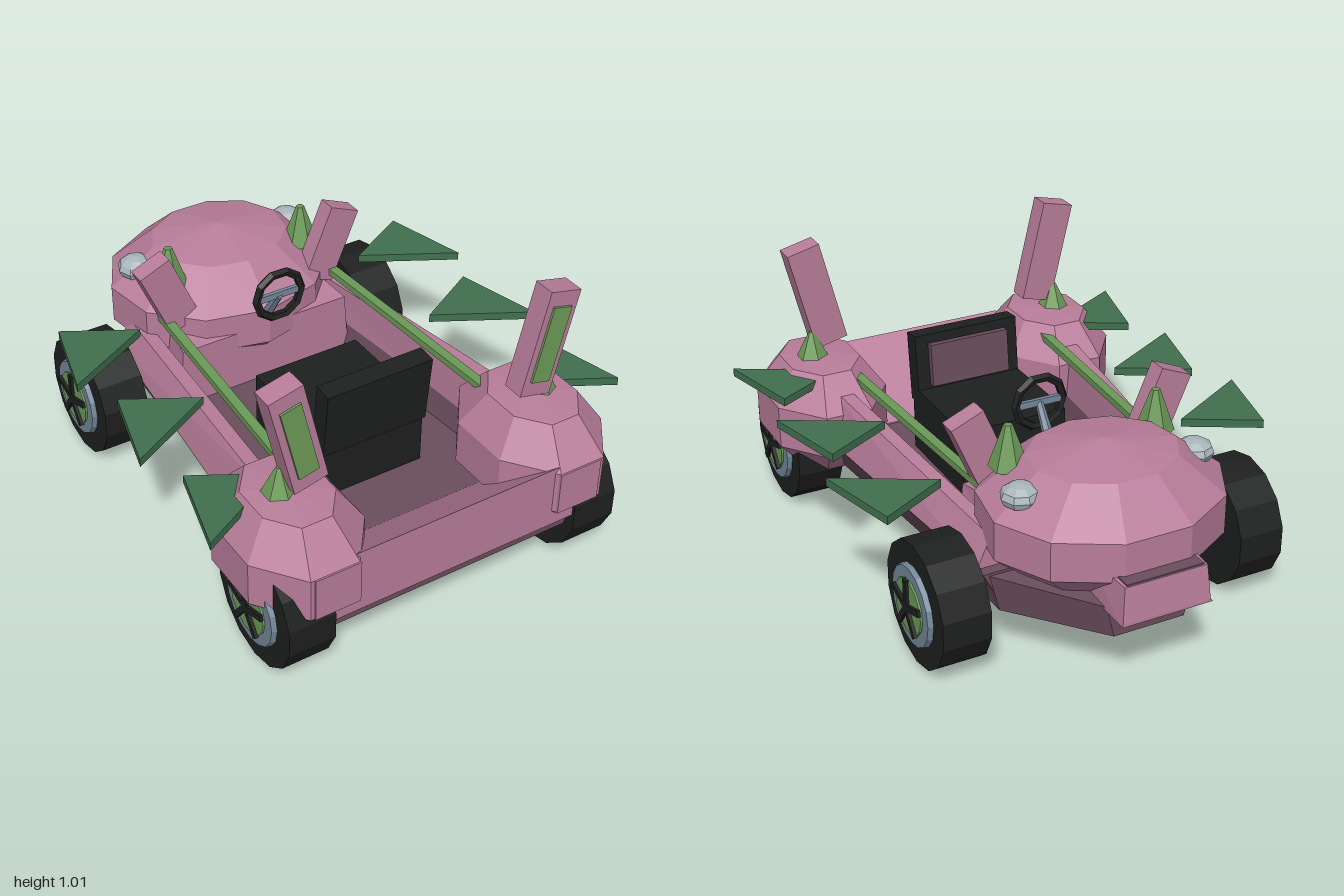
import * as THREE from 'three';

const mat = (name, color) => Object.assign(new THREE.MeshStandardMaterial({ color, flatShading: true }), { name });

export function createModel() {
  const pink = mat('pink body', 0xb87d9a);
  const mauve = mat('dark mauve', 0x6a4d5c);
  const black = mat('black rubber', 0x1e1f1f);
  const green = mat('light green', 0x6c9a58);
  const leaf = mat('dark green', 0x40704f);
  const steel = mat('blue grey', 0x74889a);
  const silver = mat('silver', 0xa9b6ba);

  const root = new THREE.Group();
  root.name = 'buggy';

  const add = (name, geo, m, pos = [0, 0, 0], rot = [0, 0, 0], parent = root) => {
    const mesh = new THREE.Mesh(geo, m);
    mesh.name = name;
    mesh.position.set(...pos);
    mesh.rotation.set(...rot);
    parent.add(mesh);
    return mesh;
  };
  const box = (w, h, d) => new THREE.BoxGeometry(w, h, d);
  const cyl = (rt, rb, h, n) => new THREE.CylinderGeometry(rt, rb, h, n);

  // Solid through rings [[z, [[x, y], ...]], ...]; rings run counter-clockwise seen from +z
  const loft = (sections, flip = false) => {
    const rings = sections.map(([z, pts]) => pts.map(([x, y]) => [flip ? -x : x, y, z]));
    const out = [];
    const tri = (a, b, c) => (flip ? out.push(...a, ...c, ...b) : out.push(...a, ...b, ...c));
    const n = rings[0].length;
    for (let i = 0; i < rings.length - 1; i++) {
      for (let j = 0; j < n; j++) {
        const k = (j + 1) % n;
        tri(rings[i][j], rings[i][k], rings[i + 1][k]);
        tri(rings[i][j], rings[i + 1][k], rings[i + 1][j]);
      }
    }
    const first = rings[0], last = rings[rings.length - 1];
    for (let j = 1; j < n - 1; j++) {
      tri(first[0], first[j + 1], first[j]);
      tri(last[0], last[j], last[j + 1]);
    }
    const g = new THREE.BufferGeometry();
    g.setAttribute('position', new THREE.Float32BufferAttribute(out, 3));
    g.computeVertexNormals();
    return g;
  };
  const trap = (xb, xt, y0, y1) => [[-xb, y0], [xb, y0], [xt, y1], [-xt, y1]];

  // Faceted dome: profile of [radius, y] from bottom to top, stretched to rx by rz
  const dome = (profile, sides, rx, rz, turn = 0) => {
    const g = new THREE.LatheGeometry(profile.map(([r, y]) => new THREE.Vector2(r, y)), sides);
    g.rotateY(turn);
    g.scale(rx, 1, rz);
    return g;
  };

  // Floor with a tapered nose, and the tail ramp rising to an upright rear wall
  add('floor', loft([
    [-0.89, trap(0.13, 0.14, 0.18, 0.23)], [-0.59, trap(0.385, 0.395, 0.18, 0.23)], [0.95, trap(0.46, 0.48, 0.18, 0.23)],
  ]), mauve);
  add('noseBlock', loft([
    [-0.89, trap(0.13, 0.16, 0.18, 0.3)], [-0.59, trap(0.385, 0.42, 0.18, 0.32)], [-0.3, trap(0.4, 0.43, 0.18, 0.32)],
  ]), mauve);
  add('tail', loft([[0.68, trap(0.5, 0.42, 0.21, 0.235)], [0.975, trap(0.5, 0.39, 0.23, 0.47)]]), pink);
  add('dashboard', loft([[-0.55, trap(0.3, 0.3, 0.23, 0.5)], [-0.23, trap(0.36, 0.34, 0.23, 0.46)]]), pink);

  // Hood
  const hood = [[0, 0.29], [0.72, 0.3], [1, 0.4], [1, 0.54], [0.61, 0.67], [0, 0.715]];
  add('hood', dome(hood, 11, 0.425, 0.3725), pink, [0, 0, -0.5725]);

  // Front bumper with a dark top
  add('bumper', loft([
    [-1, trap(0.165, 0.155, 0.29, 0.3)], [-0.98, trap(0.165, 0.15, 0.29, 0.42)], [-0.78, trap(0.165, 0.16, 0.29, 0.42)],
  ]), pink);
  add('bumperTop', box(0.28, 0.006, 0.1), mauve, [0, 0.422, -0.925]);

  // Seat
  add('seatBase', box(0.41, 0.25, 0.42), black, [0, 0.36, 0.26]);
  add('seatBack', box(0.41, 0.26, 0.07), black, [0, 0.56, 0.465], [0.1, 0, 0]);
  add('seatPad', box(0.31, 0.16, 0.03), mauve, [0, 0.58, 0.42], [0.1, 0, 0]);

  // Steering wheel
  add('steeringRim', new THREE.TorusGeometry(0.092, 0.016, 5, 10), black, [0, 0.645, -0.135]);
  add('steeringSpoke', box(0.17, 0.025, 0.015), steel, [0, 0.645, -0.137]);
  add('steeringColumn', cyl(0.014, 0.02, 0.13, 6), steel, [0, 0.59, -0.17], [0.6, 0, 0]);

  const fender = [[0, 0.13], [0.55, 0.17], [1, 0.29], [1, 0.45], [0.62, 0.57], [0, 0.585]];
  const c8 = Math.cos(Math.PI / 8);

  for (const s of [1, -1]) {
    const flip = s < 0;

    // Side wall: tapered sill below, leaning panel above
    const sill = (d) => [[0.4 - d, 0.18], [0.47 - d, 0.18], [0.55 - d, 0.33], [0.44 - d, 0.33]];
    const panel = (d, top) => [[0.43 - d, 0.23], [0.55 - d, 0.33], [0.5 - d, top], [0.45 - d, top]];
    add('sill', loft([[-0.59, sill(0.107)], [0.6, sill(0)]], flip), mauve);
    add('sidePanel', loft([[-0.55, panel(0.105, 0.44)], [0.6, panel(0, 0.51)], [0.85, panel(0.03, 0.47)]], flip), pink);
    add('sideRail', loft([
      [-0.4, [[0.32, 0.515], [0.355, 0.515], [0.355, 0.54], [0.32, 0.54]]],
      [0.56, [[0.375, 0.515], [0.41, 0.515], [0.41, 0.54], [0.375, 0.54]]],
    ], flip), green);

    // Rear fender with its raised end block
    add('rearFender', dome(fender, 8, 0.213 / c8, 0.28 / c8, Math.PI / 8), pink, [s * 0.477, 0, 0.71]);
    add('fenderBlock', box(0.165, 0.16, 0.06), pink, [s * 0.468, 0.37, 0.966]);

    // Upright posts with green panels, and short front posts
    add('rearPost', box(0.125, 0.39, 0.08), pink, [s * 0.475, 0.808, 0.735], [0, 0, -s * 0.235]);
    add('rearPostPanel', box(0.075, 0.28, 0.009), green, [s * 0.475, 0.808, 0.779], [0, 0, -s * 0.235]);
    add('frontPost', box(0.125, 0.29, 0.07), pink, [s * 0.335, 0.645, -0.35], [0, 0, -s * 0.4]);

    // Spikes and lamps
    add('rearSpike', cyl(0.01, 0.07, 0.12, 6), green, [s * 0.505, 0.613, 0.705]);
    add('frontSpike', cyl(0.015, 0.068, 0.15, 6), green, [s * 0.275, 0.69, -0.44]);
    add('lamp', new THREE.SphereGeometry(0.068, 8, 6).scale(1, 0.65, 1), silver, [s * 0.322, 0.607, -0.615]);

    // Flat triangular side fins
    for (const z of [-0.46, 0, 0.46]) {
      const pts = [[0.46, z + 0.14], [0.71, z], [0.79, z + 0.32]].map(([x, q]) => new THREE.Vector2(s * x, -q));
      const g = new THREE.ExtrudeGeometry(new THREE.Shape(pts), { depth: 0.03, bevelEnabled: false });
      add('sideFin', g.rotateX(-Math.PI / 2), leaf, [0, 0.522, 0]);
    }

    // Wheels, built along +y and turned outward
    for (const [name, z] of [['rearWheel', 0.77], ['frontWheel', -0.49]]) {
      const w = new THREE.Group();
      w.name = name;
      w.position.set(s * 0.555, 0.22, z);
      w.rotation.z = -s * Math.PI / 2;
      root.add(w);
      add('tyre', cyl(0.222, 0.222, 0.17, 14), black, [0, 0, 0], [0, Math.PI / 14, 0], w);
      add('rim', cyl(0.14, 0.148, 0.025, 16), steel, [0, 0.09, 0], [0, 0, 0], w);
      add('hubDisc', cyl(0.1, 0.1, 0.02, 14), green, [0, 0.1, 0], [0, 0, 0], w);
      for (let i = 0; i < 5; i++) {
        const a = i * Math.PI * 2 / 5 + (flip ? 0 : Math.PI);
        add('spoke', box(0.105, 0.012, 0.022), black,
          [Math.cos(a) * 0.0525, 0.115, -Math.sin(a) * 0.0525], [0, a, 0], w);
      }
    }
  }
  return root;
}
